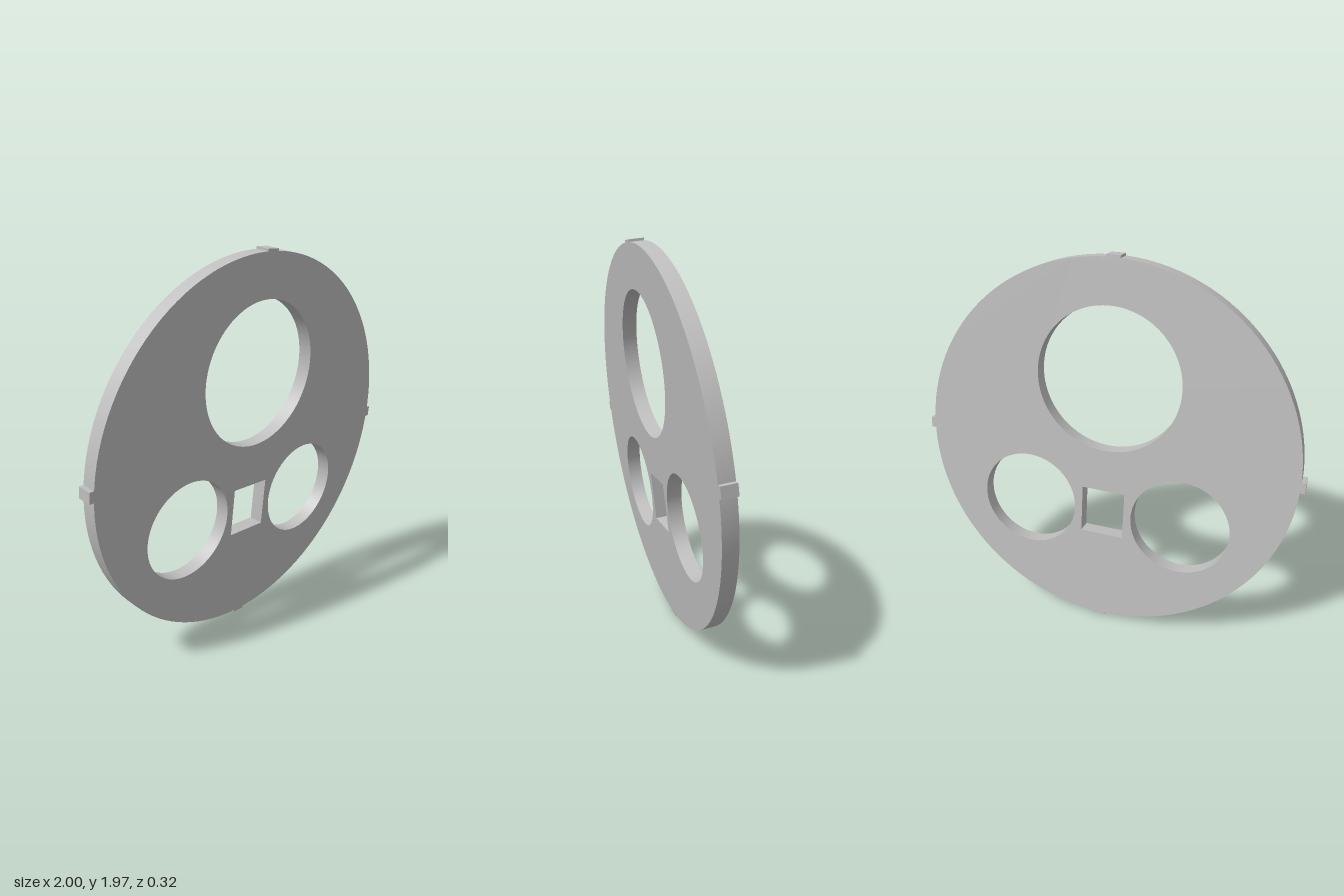
import * as THREE from 'three';
import { toCreasedNormals } from 'three/addons/utils/BufferGeometryUtils.js';

const RADIUS = 0.977;
const THICK = 0.076;
const TILT = 0.123;

function circle(Type, x, y, r) {
  const path = new Type();
  path.absarc(x, y, r, 0, Math.PI * 2, false);
  return path;
}

export function createModel() {
  const model = new THREE.Group();
  model.name = 'tiltedDisc';
  const grey = new THREE.MeshStandardMaterial({ color: 0xbfbfbf });
  grey.name = 'lightGrey';

  // Plate with three round openings and a rectangular slot
  const outline = circle(THREE.Shape, 0, 0, RADIUS);
  outline.holes.push(circle(THREE.Path, 0, 0.382, 0.372));
  for (const side of [-1, 1]) outline.holes.push(circle(THREE.Path, side * 0.415, -0.346, 0.26));
  const slot = new THREE.Path();
  slot.moveTo(-0.115, -0.475);
  slot.lineTo(0.115, -0.475);
  slot.lineTo(0.115, -0.217);
  slot.lineTo(-0.115, -0.217);
  slot.closePath();
  outline.holes.push(slot);

  const extruded = new THREE.ExtrudeGeometry(outline, {
    depth: THICK, bevelEnabled: false, curveSegments: 60,
  });
  extruded.translate(0, 0, -THICK / 2);
  const plate = new THREE.Mesh(toCreasedNormals(extruded, 0.6), grey);
  plate.name = 'plate';
  model.add(plate);

  // Small locating tabs on the rim: [name, angle, outer reach, width]
  const tabs = [
    ['leftTab', 0, 1, 0.056],
    ['topTab', Math.PI / 2, 0.988, 0.07],
    ['rightTab', Math.PI, 1, 0.056],
    ['bottomTab', -Math.PI / 2, 0.988, 0.07],
  ];
  const inner = RADIUS - 0.004;
  for (const [name, angle, reach, width] of tabs) {
    const geometry = new THREE.BoxGeometry(reach - inner, width, THICK);
    geometry.translate((reach + inner) / 2, 0, 0);
    const tab = new THREE.Mesh(geometry, grey);
    tab.name = name;
    tab.rotation.z = angle;
    model.add(tab);
  }

  // Lean the disc forward and stand it on the ground
  model.rotation.x = TILT;
  model.position.y = 0.988 * Math.cos(TILT) + (THICK / 2) * Math.sin(TILT);
  const root = new THREE.Group();
  root.name = 'model';
  root.add(model);
  return root;
}
